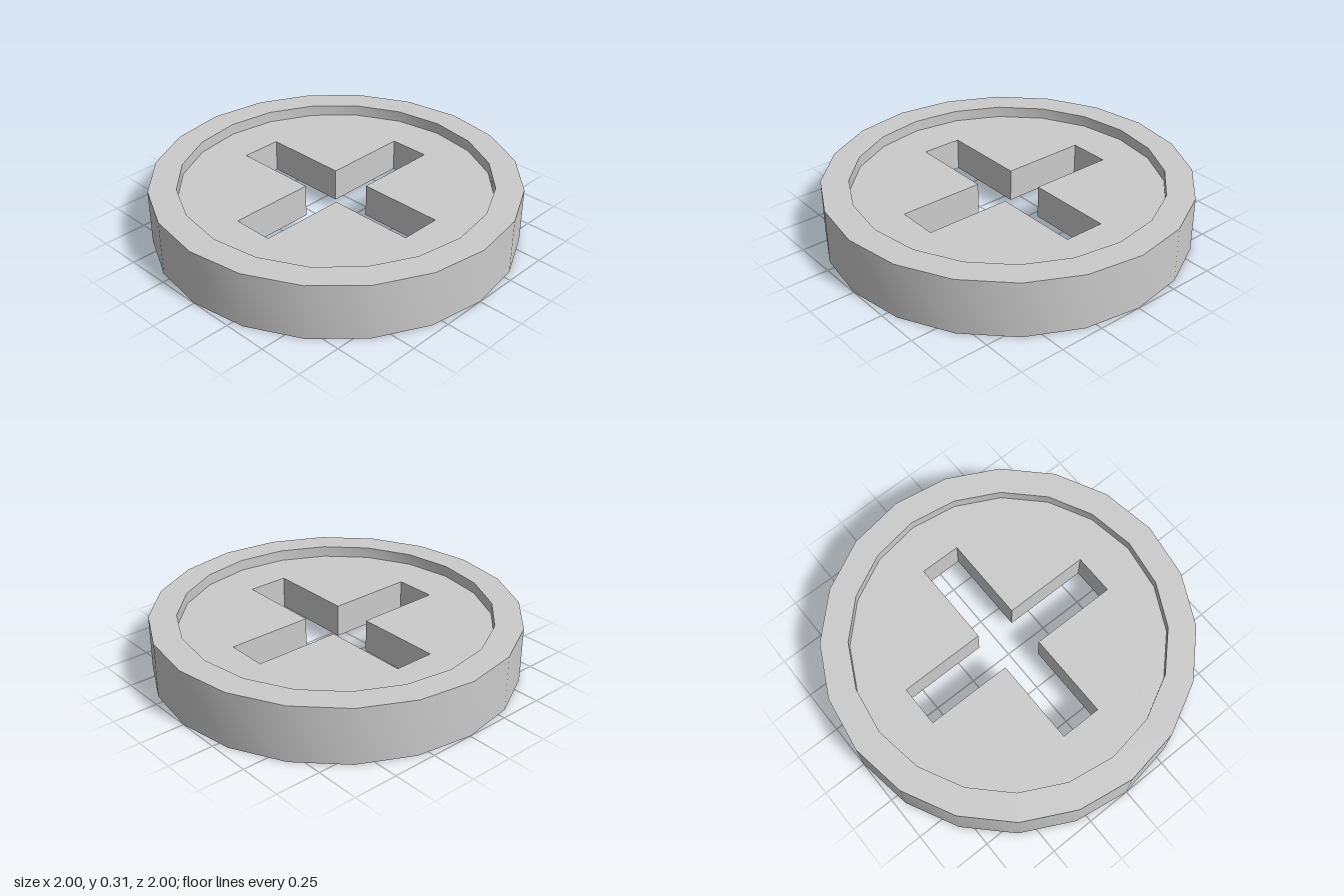
import * as THREE from 'three';
import { toCreasedNormals } from 'three/addons/utils/BufferGeometryUtils.js';

const SIDES = 20;
const HEIGHT = 0.31, RECESS = 0.0625;
const OUTER = 1, INNER = 0.85;
const ARM_LENGTH = 0.6, ARM_HALF_WIDTH = 0.115;

export function createModel() {
  const model = new THREE.Group();
  model.name = 'crossSlotDisc';
  const material = new THREE.MeshStandardMaterial({ color: 0xcccccc });

  const add = (name, geometry) => {
    const mesh = new THREE.Mesh(toCreasedNormals(geometry, 0.6), material);
    mesh.name = name;
    model.add(mesh);
  };

  // Raised rim, wrapping from the lower recess round to the upper one
  const profile = [
    [INNER, RECESS], [INNER, 0], [OUTER, 0],
    [OUTER, HEIGHT], [INNER, HEIGHT], [INNER, HEIGHT - RECESS],
  ].map(([x, y]) => new THREE.Vector2(x, y));
  add('rim', new THREE.LatheGeometry(profile, SIDES));

  // Sunken plate, pierced by a cross-shaped slot
  const outline = Array.from({ length: SIDES }, (_, i) => {
    const a = (i / SIDES) * Math.PI * 2;
    return new THREE.Vector2(INNER * Math.cos(a), INNER * Math.sin(a));
  });
  const plate = new THREE.Shape(outline);
  const cross = [];
  const centre = new THREE.Vector2();
  for (let i = 0; i < 4; i++) {
    for (const [x, y] of [
      [ARM_LENGTH, -ARM_HALF_WIDTH],
      [ARM_LENGTH, ARM_HALF_WIDTH],
      [ARM_HALF_WIDTH, ARM_HALF_WIDTH],
    ]) {
      cross.push(new THREE.Vector2(x, y).rotateAround(centre, (i * Math.PI) / 2));
    }
  }
  plate.holes.push(new THREE.Path(cross));
  const plateGeometry = new THREE.ExtrudeGeometry(plate, {
    depth: HEIGHT - 2 * RECESS,
    bevelEnabled: false,
  });
  plateGeometry.rotateX(-Math.PI / 2).translate(0, RECESS, 0);
  add('slottedPlate', plateGeometry);

  return model;
}
